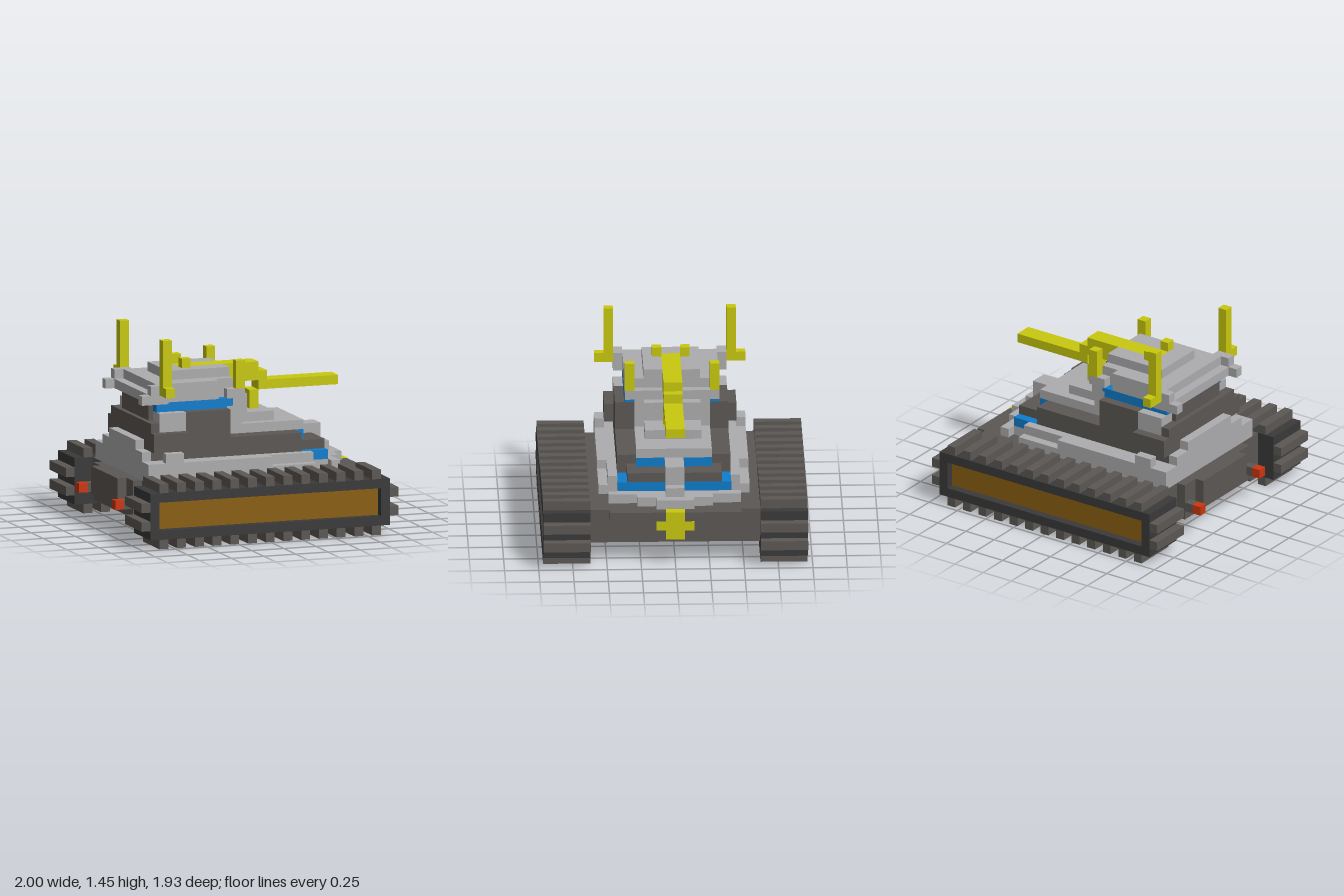
import * as THREE from 'three';
import { mergeGeometries } from 'three/addons/utils/BufferGeometryUtils.js';

const U = 2 / 29; // one block

const material = (name, color) => {
  const m = new THREE.MeshStandardMaterial({ color });
  m.name = name;
  return m;
};

// block from grid bounds: x counted from the rear, y from the ground, z from the middle
function block(x0, x1, y0, y1, z0, z1) {
  const g = new THREE.BoxGeometry((x1 - x0) * U, (y1 - y0) * U, (z1 - z0) * U);
  g.translate(((x0 + x1) / 2 - 14.5) * U, ((y0 + y1) / 2) * U, ((z0 + z1) / 2) * U);
  return g;
}
// block spanning the centre line
const mid = (x0, x1, y0, y1, z) => [block(x0, x1, y0, y1, -z, z)];
// mirrored pair of blocks
const pair = (x0, x1, y0, y1, z0, z1) => [
  block(x0, x1, y0, y1, z0, z1), block(x0, x1, y0, y1, -z1, -z0)];

export function createModel() {
  const light = material('light grey', 0xadadaf);
  const dark = material('warm dark grey', 0x5c5854);
  const black = material('charcoal', 0x3a3a3a);
  const yellow = material('yellow', 0xc9c90f);
  const blue = material('blue', 0x0f7dcc);
  const brown = material('brown', 0x8a5f10);
  const red = material('red', 0xcc3610);

  const model = new THREE.Group();
  model.name = 'tank';
  const add = (name, mat, ...parts) => {
    const mesh = new THREE.Mesh(mergeGeometries(parts.flat()), mat);
    mesh.name = name;
    model.add(mesh);
  };

  // tracks: core with a raised rim round a recessed panel
  add('trackFrames', black,
    pair(1, 28, 1, 6, 9, 13),
    pair(1, 28, 1, 2, 13, 14), pair(1, 28, 5, 6, 13, 14),
    pair(1, 2, 2, 5, 13, 14), pair(27, 28, 2, 5, 13, 14));
  add('trackPanels', brown, pair(2, 27, 2, 5, 13, 13.1));
  const cleats = [];
  for (let x = 2; x <= 26; x += 2)
    cleats.push(pair(x, x + 1, 0, 1, 9, 14), pair(x, x + 1, 6, 7, 9, 14));
  for (const y of [2, 4])
    cleats.push(pair(0, 1, y, y + 1, 9, 14), pair(28, 29, y, y + 1, 9, 14));
  add('trackCleats', dark, ...cleats.map((c) => c));

  // hull
  add('hull', dark,
    mid(3, 26, 2, 6, 9), mid(26, 27, 3, 6, 9), mid(27, 28, 5, 6, 7),
    mid(2, 3, 2, 6, 6), mid(1, 2, 3, 6, 4));
  add('exhaustPipes', dark, pair(1, 2, 3, 4, 5, 6));
  add('exhaustTips', red, pair(0, 1, 3, 4, 5, 6));
  add('noseBadge', yellow, mid(27, 28.05, 3, 6.03, 1), mid(27, 28.05, 4, 5, 2));

  // deck and stepped nose
  add('deck', light,
    mid(3, 22, 6, 7, 8), mid(3, 17, 7, 8, 8), mid(17, 21, 7, 8, 7),
    pair(21, 22, 7, 8, 6, 7), pair(5, 7, 8, 9, 7, 8));
  add('nose', light,
    mid(22, 24, 6, 7, 6), mid(24, 25, 6, 7, 7), mid(25, 26, 6, 7, 4),
    mid(26, 27, 6, 7, 2), mid(21, 26, 7, 8, 1), mid(21, 25, 8, 10, 1));
  add('rearWall', light, mid(3, 4, 8, 9, 6), mid(3, 4, 9, 10, 4));

  // dark lower superstructure
  add('body', dark,
    mid(8, 21, 8, 10, 6), mid(21, 24, 8, 9, 5), mid(8, 13, 10, 13, 6),
    mid(4, 8, 9, 11, 7), mid(4, 5, 8, 12, 6), mid(5, 8, 8, 9, 6),
    mid(4.5, 6, 12, 14, 4));
  add('lowerWindows', blue, pair(21, 24, 7, 8, 1, 6));
  add('upperWindows', blue, pair(21, 22, 9, 10, 1, 4));

  // light upper superstructure and sloping front
  add('rearShoulders', light, mid(5, 8, 11, 13, 6));
  add('glacis', light,
    mid(13, 22, 10, 11, 4), mid(13, 19, 11, 12, 3), mid(13, 15, 11, 13, 4),
    mid(14, 15, 13, 14, 4), mid(13, 16, 12, 14, 3), mid(6, 13, 13, 14, 4));
  add('sideBands', blue, pair(5, 13, 13, 14, 4, 5), pair(13, 14, 13, 14, 3, 4));

  // turret
  add('turret', light,
    mid(4, 12, 14, 15, 5), mid(12, 15, 14, 15, 4), pair(13, 15, 14, 15, 4, 5),
    mid(5, 12, 15, 16, 5), mid(12, 14, 15, 16, 4),
    pair(7, 14, 16, 17, 1, 3), mid(7, 9, 16, 17, 1));
  add('hornMounts', light, pair(3, 4, 14, 15, 5, 6), pair(4, 6, 14, 16, 5, 6));

  // gun, posts and horns
  add('gun', yellow,
    mid(9, 15, 16, 17, 1), mid(14, 18, 15, 17, 1), mid(18, 19, 15, 16, 1),
    mid(18, 27, 14, 15, 1), mid(17, 18, 12, 14, 1));
  add('gunKnobs', yellow, pair(9, 10, 17, 18, 1, 2));
  add('frontPosts', yellow, pair(14, 15, 15, 18, 4, 5));
  add('rearHorns', yellow, pair(5, 6, 15, 21, 6, 7), pair(5, 6, 15, 16, 7, 8));

  return model;
}
